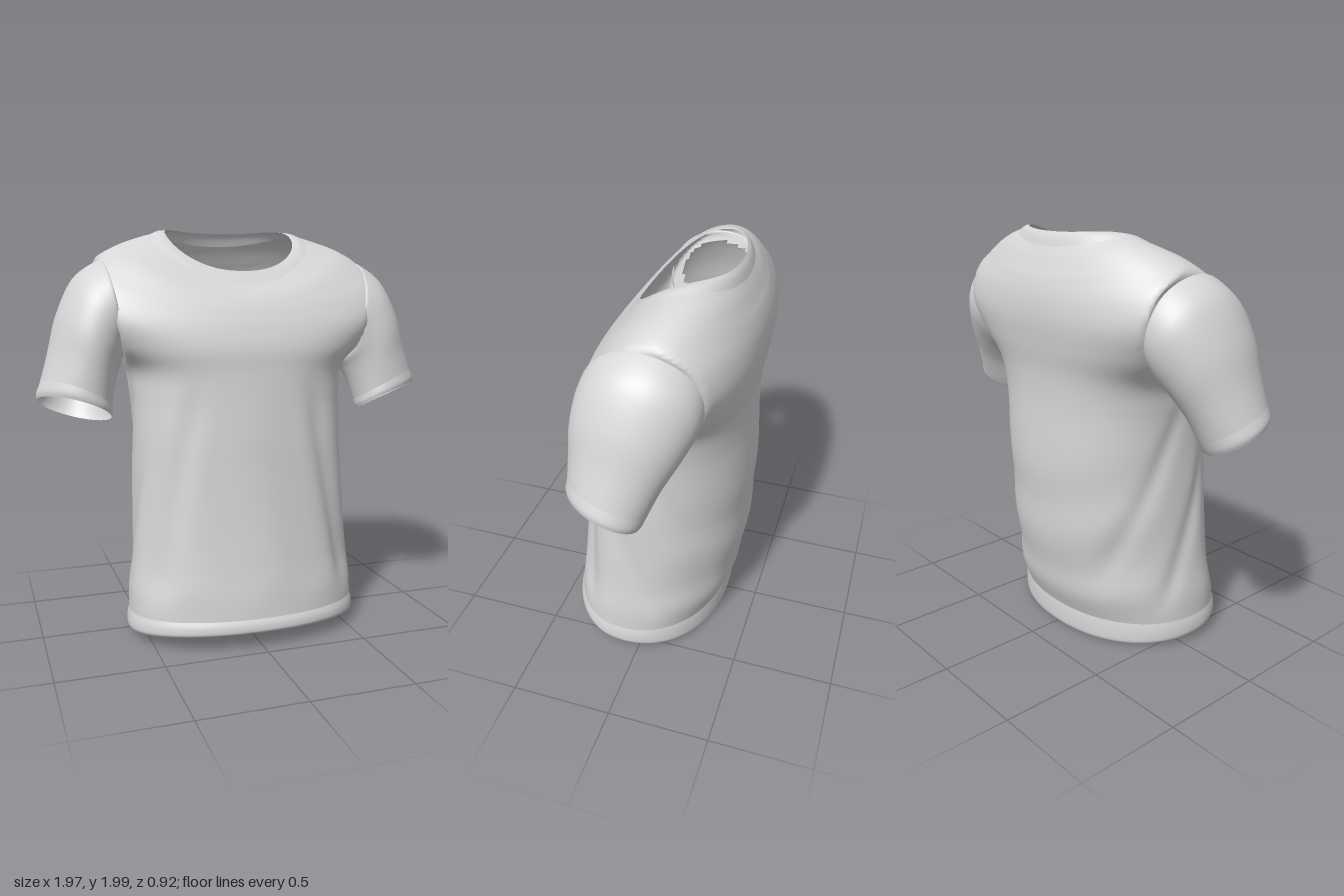
import * as THREE from 'three';

const SEG = 120;

// Catmull-Rom through rows of numbers, giving a denser list of rows
function refine(rows, steps) {
  const out = [];
  const at = (i) => rows[Math.max(0, Math.min(rows.length - 1, i))];
  for (let i = 0; i < rows.length - 1; i++) {
    for (let k = 0; k < steps; k++) {
      const t = k / steps;
      out.push(rows[i].map((p1, c) => {
        const p0 = at(i - 1)[c], p2 = at(i + 1)[c], p3 = at(i + 2)[c];
        return p1 + 0.5 * t * (p2 - p0 + t * (2 * p0 - 5 * p1 + 4 * p2 - p3 + t * (3 * (p1 - p2) + p3 - p0)));
      }));
    }
  }
  out.push(rows[rows.length - 1]);
  return out;
}

// Closed-ring loft; keep() may leave out quads to open a hole
function loft(rows, pointAt, flip = false, keep = () => true) {
  const pos = [], idx = [];
  rows.forEach((row) => {
    for (let j = 0; j < SEG; j++) pos.push(...pointAt(row, (j / SEG) * Math.PI * 2));
  });
  for (let i = 0; i < rows.length - 1; i++) {
    for (let j = 0; j < SEG; j++) {
      const a = i * SEG + j, b = i * SEG + ((j + 1) % SEG), c = a + SEG, d = b + SEG;
      const mid = [0, 1, 2].map((k) => (pos[a * 3 + k] + pos[b * 3 + k] + pos[c * 3 + k] + pos[d * 3 + k]) / 4);
      if (!keep(mid)) continue;
      if (flip) idx.push(a, b, c, b, d, c);
      else idx.push(a, c, b, b, c, d);
    }
  }
  const g = new THREE.BufferGeometry();
  g.setAttribute('position', new THREE.Float32BufferAttribute(pos, 3));
  g.setIndex(idx);
  g.computeVertexNormals();
  return g;
}

const bell = (x, w) => Math.exp(-(x * x) / (w * w));
const ramp = (x, a, b) => THREE.MathUtils.smoothstep(x, a, b);

// Soft cloth folds: front grooves below the armpits, sweeping side folds, draped back
function folds(x, y, z, s) {
  const front = ramp(s, 0.1, 0.5), back = ramp(-s, 0.2, 0.7);
  const flank = ramp(Math.abs(x), 0.25, 0.42);
  const fade = ramp(y, 0.15, 0.35) * (1 - ramp(y, 1.0, 1.36));
  const groove = (x > 0 ? 0.026 : 0.012) * bell(Math.abs(x) - 0.28 - 0.2 * (1.3 - y), 0.055);
  const ripple = 0.004 * Math.sin(17 * x + 2 * y);
  const sweep = 0.014 * (bell(z - 0.28 + 0.38 * (1.2 - y), 0.05) + bell(z + 0.1 + 0.4 * (1.0 - y), 0.05));
  const drape = 0.006 * Math.sin(15 * y - 9 * x * x + 1.2 * x) * (1 - ramp(y, 0.6, 1.1));
  return fade * (front * (ripple - groove) - flank * (1 - front) * sweep + back * drape);
}

// Torso ring: [half width, side z, front z, back z, side y, front y, back y, squareness, armhole x]
function torsoPoint([w, zc, zf, zb, ys, yf, yb, n, clip = w], a) {
  const c = Math.cos(a), s = Math.sin(a);
  const k = Math.pow(Math.abs(c) ** n + Math.abs(s) ** n, -1 / n);
  const f = s * k;
  const x = THREE.MathUtils.clamp(w * c * k, -clip, clip);
  const z = zc + (f > 0 ? zf - zc : zc - zb) * f;
  const y = ys + ((yf - yb) / 2) * f + ((yf + yb) / 2 - ys) * f * f;
  return [x, y, z];
}

function bodyPoint(row, a) {
  const [x, y, z] = torsoPoint(row, a);
  const d = folds(x, y, z, Math.sin(a));
  return [x + d * Math.cos(a), y, z + d * Math.sin(a)];
}

// Sleeve ring: [centre, long axis, cross axis]
function sleevePoint(r, a, side) {
  const c = Math.cos(a), s = Math.sin(a);
  const p = [0, 1, 2].map((k) => r[k] + r[3 + k] * c + r[6 + k] * s);
  return [p[0] * side, p[1], p[2]];
}

export function createModel() {
  const group = new THREE.Group();
  const cloth = new THREE.MeshStandardMaterial({ color: 0xd6d6d6, side: THREE.DoubleSide });
  cloth.name = 'light grey cloth';
  const add = (name, geometry) => {
    const mesh = new THREE.Mesh(geometry, cloth);
    mesh.name = name;
    group.add(mesh);
  };

  // Body from the hem stitch to the collar seam, cut flat at the armholes
  const hemTop = [0.58, 0.10, 0.445, -0.335, 0.135, 0.15, 0.12, 2.15];
  const collarSeam = [0.40, -0.115, 0.16, -0.365, 1.952, 1.725, 1.92, 2.2];
  const body = [
    hemTop,
    [0.576, 0.10, 0.435, -0.38, 0.25, 0.26, 0.24, 2.15],
    [0.558, 0.09, 0.415, -0.405, 0.40, 0.41, 0.40, 2.15],
    [0.545, 0.075, 0.393, -0.425, 0.60, 0.60, 0.60, 2.2],
    [0.537, 0.055, 0.375, -0.437, 0.80, 0.80, 0.80, 2.25],
    [0.53, 0.03, 0.36, -0.435, 1.00, 1.00, 1.00, 2.35],
    [0.533, -0.01, 0.345, -0.425, 1.20, 1.18, 1.20, 2.4],
    [0.56, -0.05, 0.335, -0.428, 1.34, 1.31, 1.35, 2.5],
    [0.69, -0.07, 0.328, -0.447, 1.46, 1.42, 1.48, 2.5, 0.60],
    [0.83, -0.075, 0.30, -0.46, 1.62, 1.52, 1.60, 2.35, 0.635],
    [0.82, -0.075, 0.265, -0.455, 1.75, 1.60, 1.70, 2.15, 0.656],
    [0.69, -0.08, 0.235, -0.435, 1.84, 1.65, 1.78, 2.1, 0.668],
    [0.575, -0.095, 0.21, -0.412, 1.90, 1.68, 1.83, 2.2],
    [0.48, -0.11, 0.185, -0.388, 1.932, 1.703, 1.88, 2.25],
    collarSeam,
  ].map((r) => (r.length === 9 ? r : [...r, r[0]]));
  const outsideArmhole = ([x, y, z]) =>
    Math.abs(x) < 0.5 || ((y - 1.59) / 0.19) ** 2 + ((z + 0.075) / 0.205) ** 2 > 1;
  add('body', loft(refine(body, 6), bodyPoint, false, outsideArmhole));

  // Hem band, drawn in slightly at the lower edge
  const hem = [
    [0.582, 0.10, 0.45, -0.33, 0.042, 0.083, 0.003, 2.15],
    [0.59, 0.10, 0.46, -0.338, 0.06, 0.095, 0.02, 2.15],
    [0.588, 0.10, 0.457, -0.338, 0.10, 0.125, 0.08, 2.15],
    hemTop,
  ];
  add('hem', loft(refine(hem, 4), torsoPoint));

  // Neck band
  const collar = [
    collarSeam,
    [0.36, -0.112, 0.137, -0.35, 1.964, 1.755, 1.96, 2.25],
    [0.325, -0.11, 0.112, -0.332, 1.962, 1.786, 1.985, 2.3],
  ];
  add('collar', loft(refine(collar, 4), torsoPoint));

  // Sleeves and their cuffs
  const cuffTop = [0.806, 1.2, 0.025, 0.16, 0.068, -0.02, -0.025, 0.05, 0.183];
  const sleeve = [
    [0.615, 1.592, -0.075, 0.04, 0.232, 0, 0, 0, 0.256],
    [0.632, 1.592, -0.075, 0.042, 0.241, -0.005, -0.003, 0, 0.268],
    [0.688, 1.538, -0.064, 0.103, 0.21, -0.02, -0.005, 0.015, 0.267],
    [0.742, 1.432, -0.033, 0.135, 0.145, -0.02, -0.012, 0.03, 0.243],
    [0.777, 1.31, 0, 0.148, 0.092, -0.02, -0.02, 0.04, 0.208],
    cuffTop,
  ];
  const cuff = [
    cuffTop,
    [0.815, 1.165, 0.035, 0.168, 0.06, -0.02, -0.03, 0.05, 0.179],
    [0.817, 1.143, 0.04, 0.164, 0.055, -0.02, -0.03, 0.05, 0.171],
  ];
  for (const [name, side] of [['left', 1], ['right', -1]]) {
    const place = (r, a) => sleevePoint(r, a, side);
    add(name + 'Sleeve', loft(refine(sleeve, 6), place, side > 0));
    add(name + 'Cuff', loft(refine(cuff, 4), place, side > 0));
  }
  return group;
}
